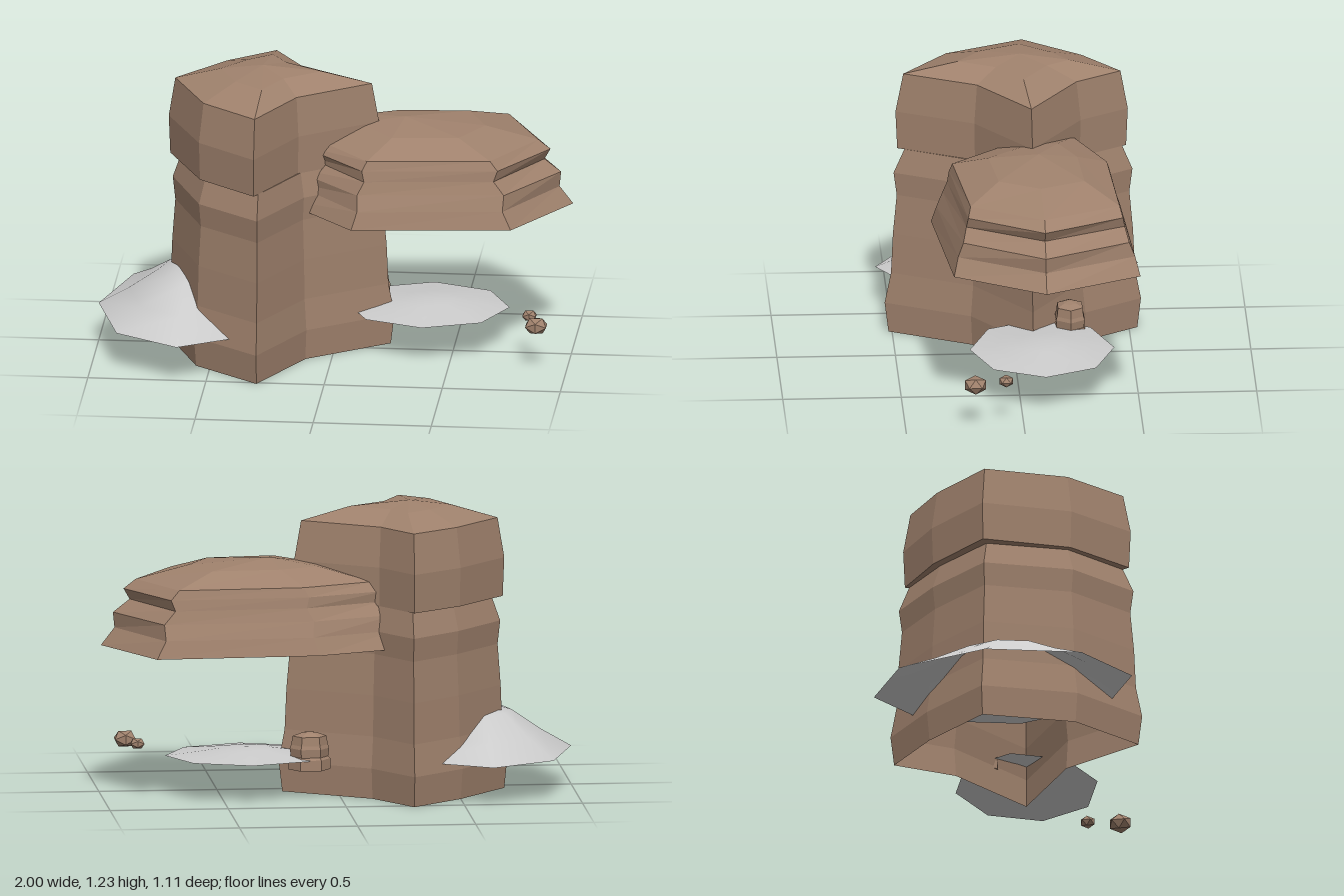
import * as THREE from 'three';

const rock = new THREE.MeshStandardMaterial({ color: 0xa0826d, side: THREE.DoubleSide });
rock.name = 'sandstone';
const drift = new THREE.MeshStandardMaterial({ color: 0xcccccc, side: THREE.DoubleSide });
drift.name = 'paleDrift';

// Copies of an [x, z] outline, scaled about a centre, one per [y, scaleX, scaleZ]
function scaledRings(outline, [cx, cz], levels) {
  return levels.map(([y, sx, sz = sx]) =>
    outline.map(([x, z]) => [cx + (x - cx) * sx, y, cz + (z - cz) * sz]));
}

// Skin stacked rings, closing the top with an apex and optionally the base
function loft(rings, apex, closedBase, flat) {
  const n = rings[0].length;
  const points = rings.flat();
  const index = [];
  const top = points.push(apex) - 1;
  for (let r = 0; r < rings.length; r++) {
    for (let i = 0; i < n; i++) {
      const a = r * n + i, b = r * n + (i + 1) % n;
      if (r === rings.length - 1) index.push(a, b, top);
      else index.push(a, b, b + n, a, b + n, a + n);
    }
  }
  if (closedBase) for (let i = 1; i < n - 1; i++) index.push(0, i + 1, i);
  let geometry = new THREE.BufferGeometry();
  geometry.setAttribute('position', new THREE.Float32BufferAttribute(points.flat(), 3));
  geometry.setIndex(index);
  if (flat) geometry = geometry.toNonIndexed();
  geometry.computeVertexNormals();
  return geometry;
}

// Regular outline, ordered from +x towards -z reversed so faces point outwards
function ellipse(cx, cz, rx, rz, n) {
  return Array.from({ length: n }, (_, i) => {
    const a = -i / n * Math.PI * 2;
    return [cx + rx * Math.cos(a), cz + rz * Math.sin(a)];
  });
}

export function createModel() {
  const model = new THREE.Group();
  const add = (name, geometry, material) => {
    const mesh = new THREE.Mesh(geometry, material);
    mesh.name = name;
    model.add(mesh);
    return mesh;
  };

  // Pillar: star-like shaft with an overhanging cap block, hollow below
  const shaft = [[-0.71, -0.07], [-0.56, 0.30], [-0.285, 0.515], [-0.11, 0.17],
    [0.23, -0.07], [-0.13, -0.30], [-0.285, -0.535], [-0.50, -0.34]];
  const cap = [[-0.71, -0.07], [-0.55, 0.28], [-0.30, 0.485], [-0.14, 0.16],
    [0.18, -0.07], [-0.16, -0.29], [-0.29, -0.495], [-0.50, -0.33]];
  const middle = [-0.28, -0.02];
  add('pillar', loft([
    ...scaledRings(shaft, middle, [[0, 1], [0.13, 1.03], [0.265, 0.98], [0.44, 0.965],
      [0.615, 0.935], [0.715, 0.96], [0.82, 0.875]]),
    ...scaledRings(cap, middle, [[0.82, 0.985], [0.985, 1], [1.155, 0.935], [1.21, 0.48]]),
  ], [-0.31, 1.232, -0.04], false, true), rock);

  // Overhanging ledge with stepped strata
  const ledge = [[-0.28, -0.06], [0.10, 0.355], [0.77, 0.29], [1.0, -0.09],
    [0.80, -0.495], [0.11, -0.46], [-0.28, -0.30]];
  add('ledge', loft(scaledRings(ledge, [0.36, -0.08], [[0.64, 1], [0.715, 0.91, 0.95],
    [0.78, 0.92, 0.89], [0.835, 0.81, 0.85], [0.88, 0.85, 0.83], [0.92, 0.77, 0.8],
    [0.977, 0.42, 0.46]]), [0.29, 1.005, -0.09], true, true), rock);

  // Small stepped knob on the back of the pillar
  add('knob', loft(scaledRings(ellipse(0.13, -0.23, 0.09, 0.075, 6), [0.13, -0.23],
    [[0.12, 1], [0.165, 0.98], [0.175, 0.88], [0.21, 0.93], [0.225, 0.86], [0.262, 0.8],
      [0.275, 0.4]]), [0.13, 0.28, -0.23], true, true), rock);

  // Soft drifts: smooth open domes
  const addDrift = (name, cx, cz, rx, rz, h) => add(name, loft(
    scaledRings(ellipse(cx, cz, rx, rz, 8), [cx, cz],
      [[0.165, 1], [0.165 + h * 0.38, 0.66], [0.165 + h * 0.82, 0.33]]),
    [cx, 0.165 + h, cz], false, false), drift);
  addDrift('largeDrift', -0.62, 0, 0.38, 0.555, 0.195);
  addDrift('smallDrift', 0.385, -0.1, 0.345, 0.305, 0.035);

  // Loose pebbles
  for (const [x, y, z, r] of [[0.87, 0.19, 0.205, 0.052], [0.83, 0.19, 0.073, 0.034]]) {
    const pebble = add('pebble', new THREE.IcosahedronGeometry(r, 0), rock);
    pebble.scale.y = 0.75;
    pebble.position.set(x, y, z);
  }
  return model;
}
